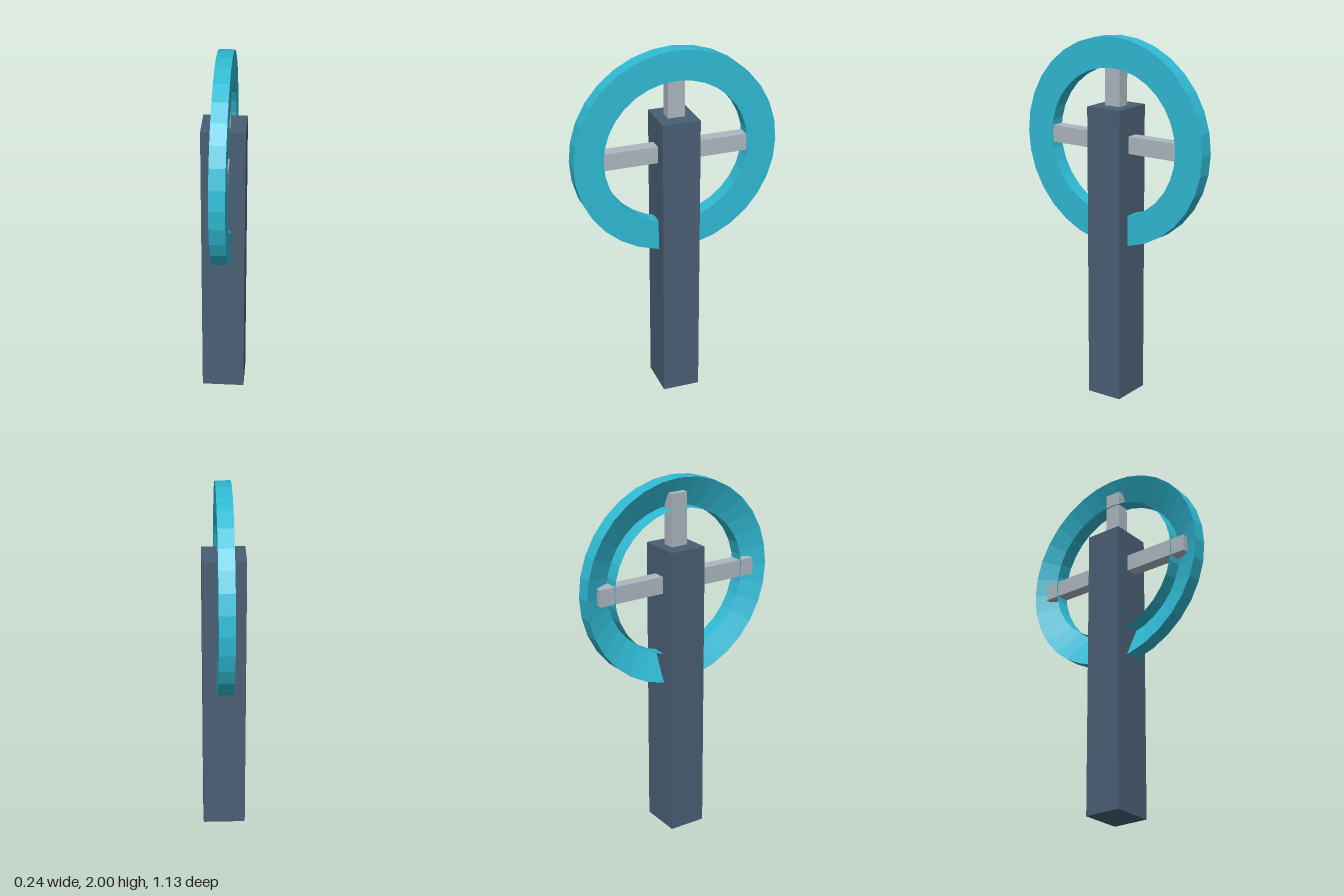
import * as THREE from 'three';

export function createModel() {
  const model = new THREE.Group();
  model.name = 'ringOnPost';

  const postPaint = new THREE.MeshStandardMaterial({ color: 0x495f74 });
  postPaint.name = 'slate';
  const ringPaint = new THREE.MeshStandardMaterial({ color: 0x30bad4, side: THREE.DoubleSide });
  ringPaint.name = 'teal';
  const spokePaint = new THREE.MeshStandardMaterial({ color: 0xadb7c0 });
  spokePaint.name = 'light grey';

  const centerY = 1.433;
  const outer = 0.567;
  const inner = 0.403;
  const half = 0.042; // half the ring's thickness
  const reach = (outer + inner) / 2; // spokes end midway into the ring

  function box(name, w, h, d, y, material) {
    const mesh = new THREE.Mesh(new THREE.BoxGeometry(w, h, d), material);
    mesh.name = name;
    mesh.position.y = y;
    model.add(mesh);
  }

  // Upright post
  box('post', 0.236, 1.631, 0.208, 1.631 / 2, postPaint);

  // Crossed spokes running through the post into the ring
  box('verticalSpoke', 0.07, reach * 2, 0.094, centerY, spokePaint);
  box('horizontalSpoke', 0.07, 0.094, reach * 2, centerY, spokePaint);

  // Ring: flat face toward +x, V-shaped groove between inner and outer walls toward -x
  const profile = [
    [inner, half], [outer, -half], [outer, half], [inner, half], [inner, -half],
  ].map(([r, y]) => new THREE.Vector2(r, y));
  const ringGeometry = new THREE.LatheGeometry(profile, 32).toNonIndexed();
  ringGeometry.computeVertexNormals(); // faceted
  ringGeometry.rotateZ(-Math.PI / 2);
  const ring = new THREE.Mesh(ringGeometry, ringPaint);
  ring.name = 'ring';
  ring.position.y = centerY;
  model.add(ring);

  return model;
}
